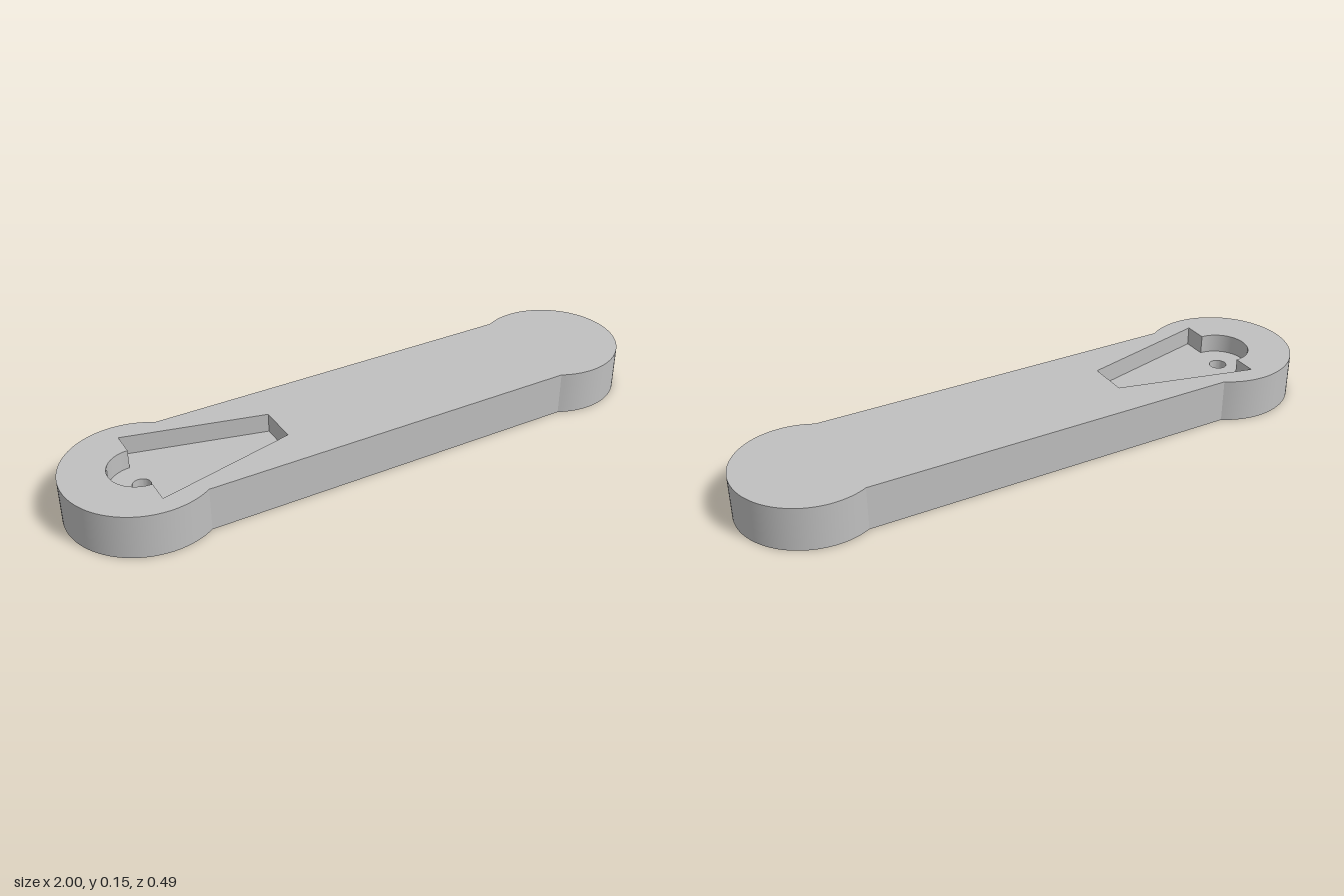
import * as THREE from 'three';
import { mergeGeometries, toCreasedNormals } from 'three/addons/utils/BufferGeometryUtils.js';

const HEIGHT = 0.147, FLOOR = 0.083, BORE = 0.05; // top, pocket floor, underside bore ceiling
const PIVOT = -0.755;

// points along an arc, counter-clockwise
function arc(cx, r, a0, a1, n) {
  return Array.from({ length: n + 1 }, (_, i) => {
    const a = a0 + (a1 - a0) * i / n;
    return new THREE.Vector2(cx + r * Math.cos(a), r * Math.sin(a));
  });
}
const circle = (cx, r, n) => arc(cx, r, 0, Math.PI * 2, n).slice(0, n);

// flat face at height y, with holes, facing up or down
function face(outline, holes, y, up) {
  const shape = new THREE.Shape(outline);
  for (const h of holes) shape.holes.push(new THREE.Path(h));
  const g = new THREE.ShapeGeometry(shape).toNonIndexed();
  g.deleteAttribute('uv');
  g.deleteAttribute('normal');
  return g.rotateX(up ? -Math.PI / 2 : Math.PI / 2).translate(0, y, 0);
}

// upright wall along a closed outline, facing outward or inward
function wall(outline, y0, y1, inward = false) {
  const pts = inward ? [...outline].reverse() : outline;
  const pos = [];
  pts.forEach((a, i) => {
    const b = pts[(i + 1) % pts.length];
    pos.push(a.x, y0, -a.y, b.x, y0, -b.y, b.x, y1, -b.y);
    pos.push(a.x, y0, -a.y, b.x, y1, -b.y, a.x, y1, -a.y);
  });
  const g = new THREE.BufferGeometry();
  g.setAttribute('position', new THREE.Float32BufferAttribute(pos, 3));
  return g;
}

export function createModel() {
  const grey = new THREE.MeshStandardMaterial({ color: 0xbfbfbf });
  grey.name = 'grey';
  const group = new THREE.Group();
  group.name = 'leverArm';
  const add = (name, parts) => {
    const mesh = new THREE.Mesh(toCreasedNormals(mergeGeometries(parts), 0.3), grey);
    mesh.name = name;
    group.add(mesh);
  };

  // straight bar with a round boss at each end
  const half = 0.206, rL = 0.245, rR = 0.232;
  const aR = Math.PI - Math.asin(half / rR), aL = Math.asin(half / rL);
  const outline = [
    ...arc(1 - rR, rR, -aR, aR, 64),
    ...arc(PIVOT, rL, aL, Math.PI * 2 - aL, 64),
  ];
  // keyhole pocket: half circle opening into a tapered slot
  const pocket = [
    ...arc(PIVOT, 0.1, Math.PI / 2, Math.PI * 1.5, 32),
    ...[[PIVOT, -0.18], [-0.295, -0.068], [-0.295, 0.068], [PIVOT, 0.18]]
      .map(([x, y]) => new THREE.Vector2(x, y)),
  ];
  const hole = circle(PIVOT, 0.029, 32);
  const bore = circle(PIVOT, 0.059, 32);

  add('armBody', [
    wall(outline, 0, HEIGHT),
    face(outline, [pocket], HEIGHT, true),
    face(outline, [bore], 0, false),
  ]);
  add('hornPocket', [wall(pocket, FLOOR, HEIGHT, true), face(pocket, [hole], FLOOR, true)]);
  add('screwHole', [wall(hole, BORE, FLOOR, true)]);
  add('screwHeadBore', [wall(bore, 0, BORE, true), face(bore, [hole], BORE, false)]);
  return group;
}
